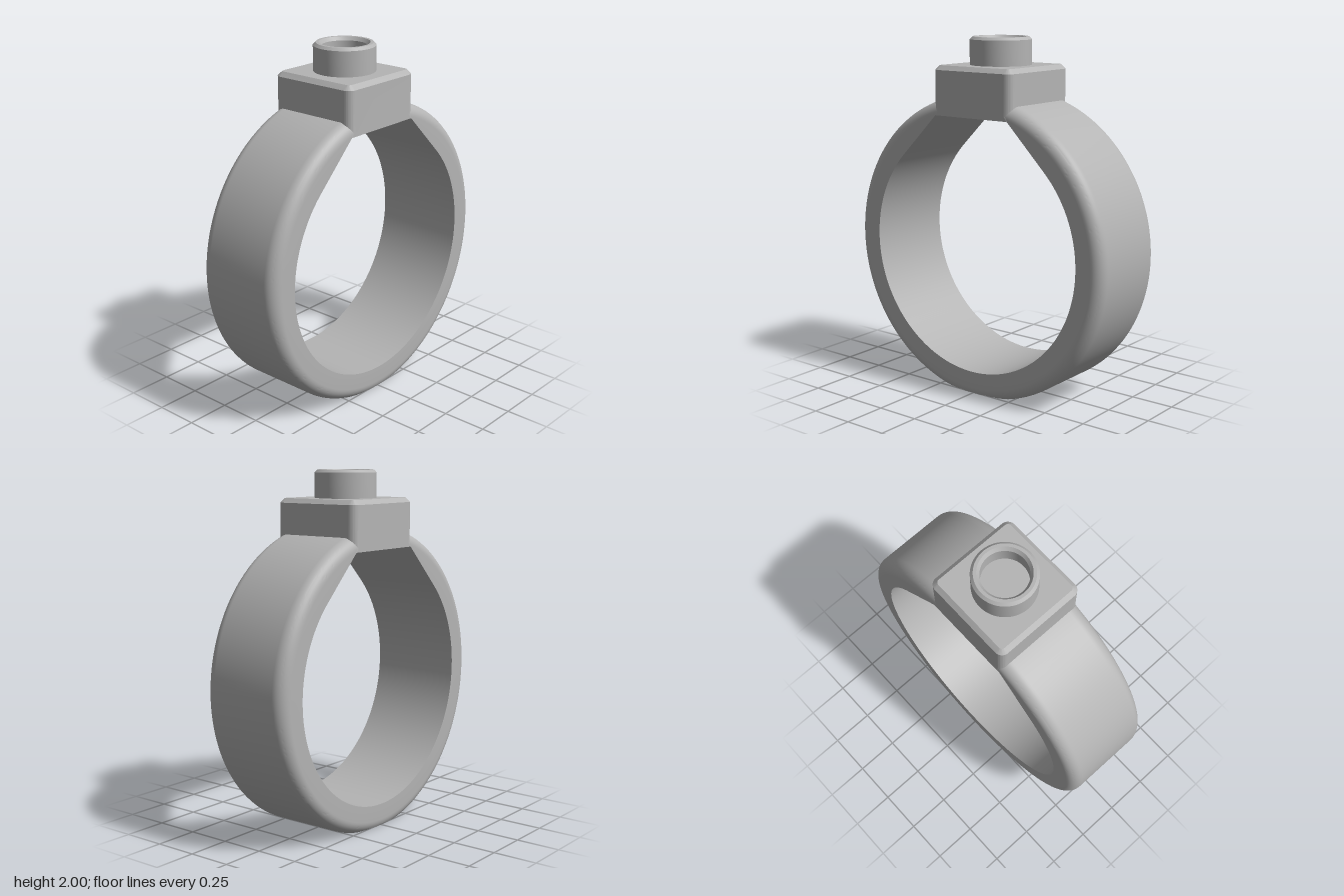
import * as THREE from 'three';
import { toCreasedNormals } from 'three/addons/utils/BufferGeometryUtils.js';

const CREASE = 0.2;
const CY = 0.83;       // centre height of the finger hole
const OUTER = 0.86, INNER = 0.7, HALF_W = 0.269, ROUND = 0.07;

// Inner radius at angle a from the top: round below, straight 45 degree shoulders, flat under the head
function innerRadius(a) {
  const t = Math.min(a, 2 * Math.PI - a);
  if (t >= Math.PI / 4) return INNER;
  return Math.min(INNER / Math.cos(t - Math.PI / 4), 0.743 / Math.cos(t));
}

// Band swept from cross-sections: rounded outer edges, sharp inner edges, flat foot
function bandGeometry() {
  const steps = 360, arc = 10, pos = [], index = [];
  const n = 2 * (arc + 1) + 2;
  for (let i = 0; i < steps; i++) {
    const a = (i / steps) * 2 * Math.PI, s = Math.sin(a), c = Math.cos(a);
    const section = [[innerRadius(a), -HALF_W]];
    for (const side of [-1, 1]) {
      for (let k = 0; k <= arc; k++) {
        const t = ((side < 0 ? k : arc - k) / arc) * Math.PI / 2;
        section.push([OUTER - ROUND + ROUND * Math.sin(t),
          side * (HALF_W - ROUND + ROUND * Math.cos(t))]);
      }
    }
    section.push([innerRadius(a), HALF_W]);
    for (const [r0, z] of section) {
      const r = c < 0 ? Math.min(r0, CY / -c) : r0;
      pos.push(r * s, CY + r * c, z);
    }
  }
  for (let i = 0; i < steps; i++) {
    for (let j = 0; j < n; j++) {
      const p = i * n + j, pj = i * n + (j + 1) % n;
      const q = ((i + 1) % steps) * n + j, qj = ((i + 1) % steps) * n + (j + 1) % n;
      index.push(p, pj, q, pj, qj, q);
    }
  }
  const g = new THREE.BufferGeometry();
  g.setAttribute('position', new THREE.Float32BufferAttribute(pos, 3));
  g.setIndex(index);
  return toCreasedNormals(g, CREASE);
}

// Square head with rounded upright edges and a chamfer on the top only
function headGeometry() {
  const h = 0.27, r = 0.045, b = 0.025, bottom = 1.57, top = 1.845;
  const shape = new THREE.Shape();
  shape.moveTo(h - r, -h);
  shape.absarc(h - r, -h + r, r, -Math.PI / 2, 0);
  shape.absarc(h - r, h - r, r, 0, Math.PI / 2);
  shape.absarc(-h + r, h - r, r, Math.PI / 2, Math.PI);
  shape.absarc(-h + r, -h + r, r, Math.PI, Math.PI * 1.5);
  const g = new THREE.ExtrudeGeometry(shape, {
    depth: top - bottom - 2 * b, bevelEnabled: true, bevelSize: b, bevelOffset: -b,
    bevelThickness: b, bevelSegments: 1, curveSegments: 10,
  });
  g.rotateX(-Math.PI / 2);
  g.translate(0, bottom + b, 0);
  const p = g.attributes.position;
  for (let i = 0; i < p.count; i++) {
    if (p.getY(i) < bottom + b / 2) {
      p.setX(i, p.getX(i) * h / (h - b));
      p.setZ(i, p.getZ(i) * h / (h - b));
    }
  }
  return toCreasedNormals(g, CREASE);
}

// Hollow round stud with chamfered rims
function studGeometry() {
  const profile = [[0.172, 1.83], [0.172, 1.985], [0.157, 2], [0.14, 2],
    [0.125, 1.98], [0.125, 1.89], [0, 1.89]].map(([x, y]) => new THREE.Vector2(x, y));
  return toCreasedNormals(new THREE.LatheGeometry(profile, 72), CREASE);
}

export function createModel() {
  const grey = new THREE.MeshStandardMaterial({ color: 0xb4b4b4 });
  grey.name = 'light grey';
  const group = new THREE.Group();
  group.name = 'ring';
  const parts = { band: bandGeometry(), head: headGeometry(), stud: studGeometry() };
  for (const [name, geometry] of Object.entries(parts)) {
    const mesh = new THREE.Mesh(geometry, grey);
    mesh.name = name;
    group.add(mesh);
  }
  return group;
}
